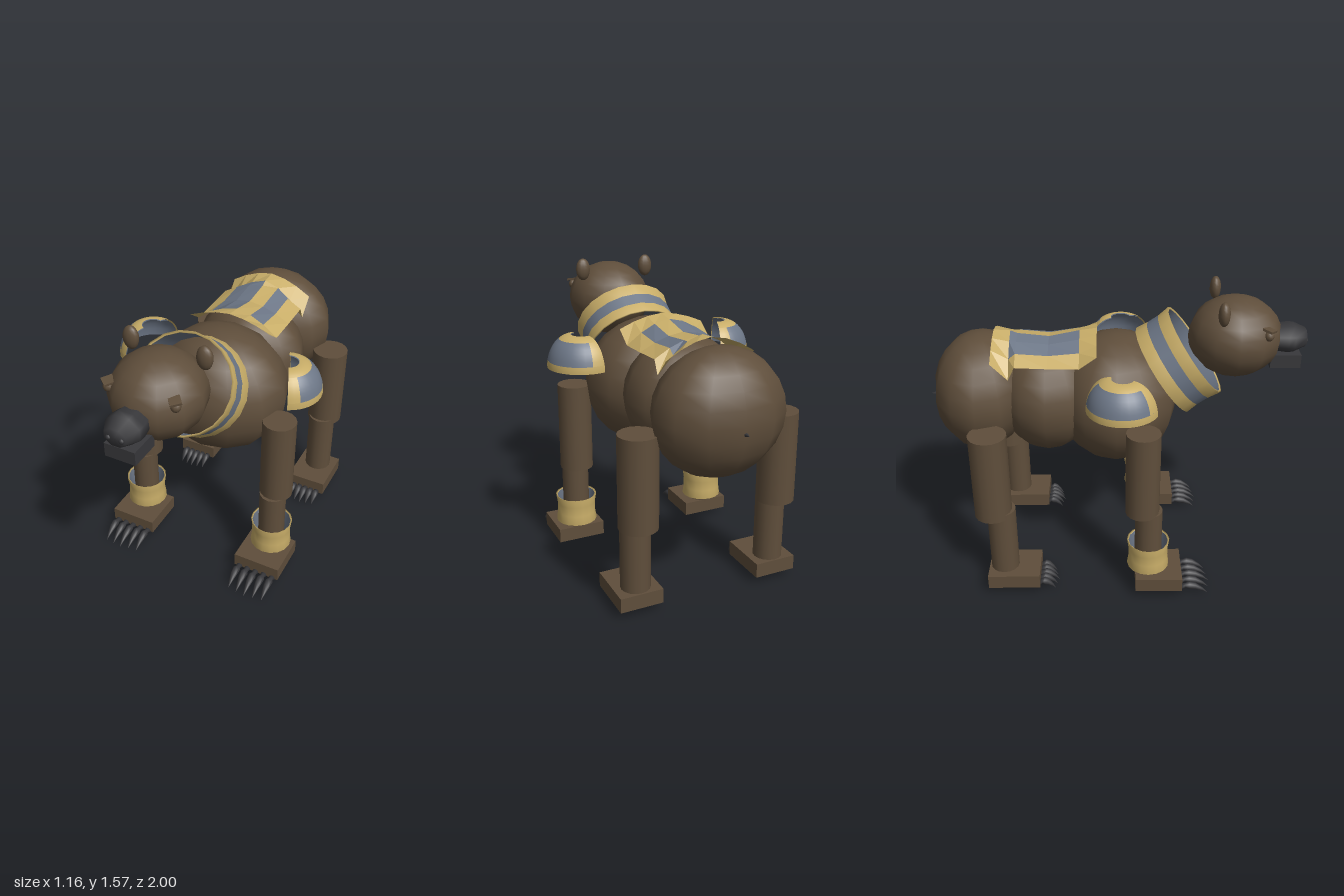
import * as THREE from 'three';

const material = (name, color, side = THREE.FrontSide) => {
  const m = new THREE.MeshStandardMaterial({ color, side });
  m.name = name;
  return m;
};

export function createModel() {
  const root = new THREE.Group();
  root.name = 'armouredBear';
  const fur = material('brownFur', 0x5f4e3b);
  const dark = material('darkHorn', 0x38383b);
  const gold = material('goldTrim', 0xc8ad68, THREE.DoubleSide);
  const steel = material('blueSteel', 0x6d7787, THREE.DoubleSide);
  const rad = THREE.MathUtils.degToRad;

  function add(name, geometry, mat, pos = [0, 0, 0], parent = root) {
    const mesh = new THREE.Mesh(geometry, mat);
    mesh.name = name;
    mesh.position.set(...pos);
    parent.add(mesh);
    return mesh;
  }
  const ellipsoid = (name, radii, pos, mat = fur, ws = 12, hs = 12) =>
    add(name, new THREE.SphereGeometry(1, ws, hs).scale(...radii), mat, pos);
  const cylinder = (name, r, y0, y1, x, z) =>
    add(name, new THREE.CylinderGeometry(r, r, y1 - y0, 16), fur, [x, (y0 + y1) / 2, z]);
  const lathe = (pts, segments, start = 0, length = Math.PI * 2) =>
    new THREE.LatheGeometry(pts.map(p => new THREE.Vector2(...p)), segments, start, length);

  // Body
  ellipsoid('chest', [0.38, 0.35, 0.33], [0, 0.982, 0]);
  ellipsoid('belly', [0.32, 0.308, 0.27], [0, 1.0, -0.365]);
  ellipsoid('rump', [0.34, 0.318, 0.255], [0, 1.02, -0.72]);
  add('tail', new THREE.ConeGeometry(0.018, 0.05, 6).rotateX(-Math.PI / 2), dark, [0, 0.99, -0.975]);

  // Head
  ellipsoid('head', [0.237, 0.212, 0.245], [0, 1.325, 0.62]);
  const snout = lathe([[0.08, 0.8], [0.097, 0.89], [0.095, 0.925], [0.06, 0.99], [0, 0.992]], 8)
    .rotateY(Math.PI / 8).rotateX(Math.PI / 2).scale(1, 0.8, 1);
  add('snout', snout, dark, [0, 1.314, 0]);
  add('jaw', new THREE.BoxGeometry(0.16, 0.072, 0.16), dark, [0, 1.206, 0.885]);

  // Curved claw pointing along +z
  function clawGeometry(length) {
    const g = lathe([[0, 0], [0.018, 0.04], [0.013, 0.18], [0.021, 0.32], [0.018, 0.55], [0.009, 0.82], [0, 1]], 8)
      .rotateX(Math.PI / 2);
    const p = g.attributes.position;
    for (let i = 0; i < p.count; i++) {
      const t = p.getZ(i);
      p.setXYZ(i, p.getX(i), p.getY(i) + 0.05 + 0.07 * t - 0.112 * t * t, t * length);
    }
    g.computeVertexNormals();
    return g;
  }

  function foot(prefix, x, z0, z1, width, clawStep, clawLength) {
    const zc = (z0 + z1) / 2;
    add(prefix + 'Foot', new THREE.BoxGeometry(width, 0.078, z1 - z0), fur, [x, 0.086, zc]);
    ellipsoid(prefix + 'Pad', [0.085, 0.018, 0.095], [x, 0.047, zc], dark, 16, 8);
    for (let i = -2; i <= 2; i++)
      add(prefix + 'Claw', clawGeometry(clawLength - 0.008 * Math.abs(i)), dark, [x + i * clawStep, 0, z1 - 0.005]);
  }

  // Shoulder plate: part of a dome, framed in gold, open at the top and inwards
  const domePoint = t => [0.057 + 0.128 * Math.sin(t * Math.PI / 2), 1.1 + 0.168 * Math.cos(t * Math.PI / 2)];
  const domeProfile = (t0, t1, shrink = 0) => Array.from({ length: 7 }, (_, i) => {
    const [r, y] = domePoint(t1 + (t0 - t1) * i / 6);
    return [r - shrink, y - shrink * 0.6];
  });
  function shoulderPlate(s) {
    const group = new THREE.Group();
    group.name = s > 0 ? 'leftShoulderPlate' : 'rightShoulderPlate';
    group.position.set(s * 0.395, 0, 0.03);
    root.add(group);
    const patch = (name, mat, t0, t1, a, b, shrink) => {
      const start = s > 0 ? a : -b;
      add(name, lathe(domeProfile(t0, t1, shrink), Math.ceil((b - a) / 12), rad(start), rad(b - a)), mat, [0, 0, 0], group);
    };
    patch('platePanel', steel, 0.32, 0.86, 45, 177);
    patch('plateTopTrim', gold, 0, 0.32, 24, 198);
    patch('plateRimTrim', gold, 0.86, 1, 24, 198);
    patch('plateFrontTrim', gold, 0.32, 0.86, 24, 45);
    patch('plateBackTrim', gold, 0.32, 0.86, 177, 198);
    patch('plateLining', steel, 0.02, 0.99, 25, 197, 0.007);
  }

  // Mirrored parts
  for (const s of [1, -1]) {
    const side = s > 0 ? 'left' : 'right';
    ellipsoid(side + 'Ear', [0.042, 0.062, 0.03], [s * 0.194, 1.515, 0.53], fur, 12, 10);
    ellipsoid(side + 'Eye', [0.025, 0.027, 0.025], [s * 0.175, 1.392, 0.765], fur, 10, 8);
    const brow = add(side + 'Brow', new THREE.BoxGeometry(0.055, 0.012, 0.055), fur, [s * 0.172, 1.422, 0.765]);
    brow.rotation.set(0.2, s * 0.7, 0);
    ellipsoid(side + 'Nostril', [0.014, 0.014, 0.012], [s * 0.034, 1.308, 0.988], dark, 8, 6);

    // Front leg with cuff
    cylinder(side + 'FrontUpperLeg', 0.09, 0.49, 0.97, s * 0.41, 0.135);
    cylinder(side + 'FrontLowerLeg', 0.073, 0.11, 0.5, s * 0.408, 0.17);
    const cuff = [[0.104, 0.155], [0.114, 0.15], [0.107, 0.2], [0.107, 0.255], [0.115, 0.305], [0.106, 0.3]];
    add(side + 'Cuff', lathe(cuff, 16), gold, [s * 0.408, 0, 0.17]);
    add(side + 'CuffLining', lathe([[0.104, 0.155], [0.1, 0.23], [0.106, 0.3]], 16), steel, [s * 0.408, 0, 0.17]);
    foot(side + 'Front', s * 0.403, 0.1, 0.353, 0.265, 0.05, 0.165);

    // Rear leg
    cylinder(side + 'RearUpperLeg', 0.1, 0.47, 0.95, s * 0.386, -0.656);
    cylinder(side + 'RearLowerLeg', 0.077, 0.11, 0.5, s * 0.386, -0.615);
    foot(side + 'Rear', s * 0.386, -0.7, -0.42, 0.23, 0.037, 0.105);

    shoulderPlate(s);
  }

  // Tilted collar: gold, steel and gold bands around an open steel lining
  const collar = new THREE.Group();
  collar.name = 'collar';
  collar.position.set(0, 1.185, 0.333);
  collar.rotation.x = 0.961;
  collar.scale.x = 1.05;
  root.add(collar);
  add('collarLowerBand', lathe([[0.25, -0.094], [0.252, -0.1], [0.262, -0.1], [0.254, -0.034]], 20), gold, [0, 0, 0], collar);
  add('collarMiddleBand', lathe([[0.254, -0.034], [0.254, 0.034]], 20), steel, [0, 0, 0], collar);
  add('collarUpperBand', lathe([[0.254, 0.034], [0.262, 0.1], [0.252, 0.1], [0.25, 0.094]], 20), gold, [0, 0, 0], collar);
  add('collarLining', lathe([[0.25, 0.094], [0.245, 0], [0.25, -0.094]], 20), steel, [0, 0, 0], collar);

  // Back cover: draped sheet, each row is [z, ridge height, edge height]
  const rows = [[-0.1, 1.368, 1.305], [-0.19, 1.355, 1.24], [-0.35, 1.322, 1.243],
    [-0.515, 1.34, 1.25], [-0.55, 1.355, 1.18], [-0.637, 1.36, 1.27]];
  const columns = [-0.235, -0.16, -0.08, 0, 0.08, 0.155, 0.235];
  const sheet = { gold: [], steel: [] };
  const corner = (r, c) => {
    const [z, top, edge] = rows[r], x = columns[c];
    return [x, top - (top - edge) * Math.pow(Math.abs(x) / 0.235, 1.7), z];
  };
  for (let r = 0; r < rows.length - 1; r++) {
    for (let c = 0; c < columns.length - 1; c++) {
      const panel = r >= 1 && r <= 3 && (c === 1 || c === 2 || c === 4);
      const [a, b, d, e] = [corner(r, c), corner(r, c + 1), corner(r + 1, c + 1), corner(r + 1, c)];
      sheet[panel ? 'steel' : 'gold'].push(...a, ...b, ...d, ...a, ...d, ...e);
    }
  }
  for (const [key, mat] of [['gold', gold], ['steel', steel]]) {
    const g = new THREE.BufferGeometry();
    g.setAttribute('position', new THREE.Float32BufferAttribute(sheet[key], 3));
    g.computeVertexNormals();
    add(key === 'gold' ? 'backCoverTrim' : 'backCoverPanels', g, mat);
  }
  return root;
}
